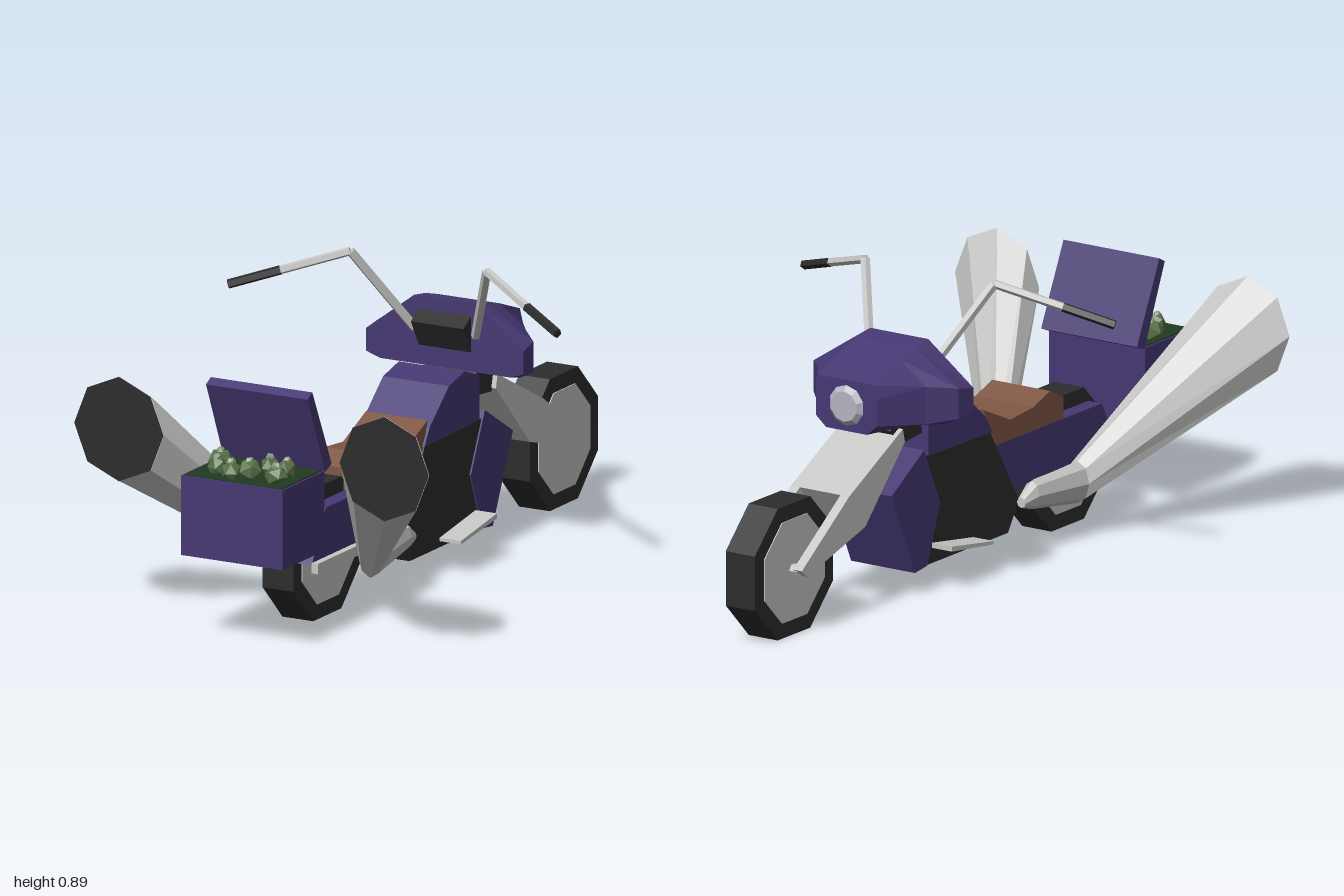
import * as THREE from 'three';

const mat = (name, color) => {
  const m = new THREE.MeshStandardMaterial({ color });
  m.name = name;
  return m;
};

export function createModel() {
  const purple = mat('purple paint', 0x463873);
  const black = mat('black rubber', 0x2c2c2c);
  const steel = mat('light steel', 0xc6c6c4);
  const glass = mat('headlight glass', 0xb4b4c0);
  const brown = mat('brown leather', 0x7f5745);
  const darkGreen = mat('dark green lining', 0x203a22);
  const green = mat('green bundle', 0x566f45);
  const paleGreen = mat('pale green bundle', 0x8a9a7c);

  const model = new THREE.Group();
  model.name = 'motorcycle';

  function add(name, geo, material) {
    const g = geo.index ? geo.toNonIndexed() : geo;
    g.computeVertexNormals();
    const mesh = new THREE.Mesh(g, material);
    mesh.name = name;
    model.add(mesh);
    return mesh;
  }

  // Side profile of [z, y] points, extruded from x0 to x1
  function slab(name, pts, x0, x1, material) {
    const shape = new THREE.Shape(pts.map(p => new THREE.Vector2(p[0], p[1])));
    const geo = new THREE.ExtrudeGeometry(shape, { depth: x1 - x0, bevelEnabled: false });
    geo.rotateY(-Math.PI / 2).translate(x1, 0, 0);
    return add(name, geo, material);
  }

  function box(name, x0, x1, y0, y1, z0, z1, material) {
    const geo = new THREE.BoxGeometry(x1 - x0, y1 - y0, z1 - z0);
    geo.translate((x0 + x1) / 2, (y0 + y1) / 2, (z0 + z1) / 2);
    return add(name, geo, material);
  }

  // Skin over counter-clockwise rings ordered by rising z, closed at both ends
  function loft(name, rings, material) {
    const n = rings[0].length, idx = [];
    const last = (rings.length - 1) * n;
    for (let i = 0; i < rings.length - 1; i++) {
      for (let j = 0; j < n; j++) {
        const k = (j + 1) % n;
        const a = i * n + j, b = i * n + k, c = b + n, d = a + n;
        idx.push(a, b, c, a, c, d);
      }
    }
    for (let j = 1; j < n - 1; j++) {
      idx.push(0, j + 1, j, last, last + j, last + j + 1);
    }
    const geo = new THREE.BufferGeometry();
    geo.setAttribute('position', new THREE.Float32BufferAttribute(rings.flat(2), 3));
    geo.setIndex(idx);
    return add(name, geo, material);
  }

  // Straight bar between two points
  function bar(name, a, b, r, material, sides = 5) {
    const p = new THREE.Vector3(...a), q = new THREE.Vector3(...b);
    const dir = q.clone().sub(p);
    const geo = new THREE.CylinderGeometry(r, r, dir.length(), sides);
    geo.applyQuaternion(new THREE.Quaternion().setFromUnitVectors(
      new THREE.Vector3(0, 1, 0), dir.normalize()));
    const mid = p.add(q).multiplyScalar(0.5);
    geo.translate(mid.x, mid.y, mid.z);
    return add(name, geo, material);
  }

  // Octagonal wheels with flat hub plates
  const octagon = (r, w, z) => new THREE.CylinderGeometry(r, r, w, 8)
    .rotateY(Math.PI / 8).rotateZ(Math.PI / 2).translate(0, 0.193, z);
  for (const [name, z] of [['frontWheel', -0.805], ['rearWheel', 0.543]]) {
    add(name + 'Tyre', octagon(0.209, 0.1, z), black);
    add(name + 'Hub', octagon(0.16, 0.106, z), steel);
  }

  // Engine, front radiator, tank, seat
  slab('engine', [[0.08, 0.396], [-0.235, 0.396], [-0.235, 0.075], [0.17, 0.075],
    [0.225, 0.16], [0.2, 0.2]], -0.105, 0.105, black);
  slab('radiator', [[-0.25, 0.418], [-0.41, 0.32], [-0.295, 0.068], [-0.235, 0.075],
    [-0.17, 0.246]], -0.11, 0.11, purple);
  slab('fuelTank', [[0.09, 0.39], [0.06, 0.44], [-0.05, 0.535], [-0.14, 0.557],
    [-0.225, 0.525], [-0.225, 0.395]], -0.107, 0.107, purple);
  slab('seat', [[0.45, 0.343], [0.45, 0.407], [0.385, 0.44], [0.305, 0.412], [0.19, 0.402],
    [0.06, 0.46], [0.08, 0.39], [0.12, 0.343]], -0.1, 0.1, brown);

  // Rear frame
  const rail = [[0.09, 0.39], [0.12, 0.343], [0.64, 0.343], [0.72, 0.193], [0.19, 0.193]];
  slab('rearFrameCore', [[0.09, 0.39], [0.12, 0.343], [0.34, 0.343], [0.34, 0.193],
    [0.19, 0.193]], -0.055, 0.055, purple);

  // Steering neck and fork crown
  slab('steeringNeck', [[-0.17, 0.67], [-0.22, 0.7], [-0.38, 0.5], [-0.33, 0.45],
    [-0.22, 0.46], [-0.25, 0.53]], -0.085, 0.085, black);
  slab('forkCrown', [[-0.34, 0.5], [-0.605, 0.364], [-0.525, 0.257], [-0.33, 0.46]],
    -0.07, 0.07, steel);
  bar('frontAxle', [-0.08, 0.193, -0.815], [0.08, 0.193, -0.815], 0.018, steel, 6);

  for (const s of [-1, 1]) {
    const side = s > 0 ? 'left' : 'right';
    const span = (a, b) => s > 0 ? [a, b] : [-b, -a];

    slab(side + 'RearRail', rail, ...span(0.053, 0.1), purple);
    box(side + 'SwingArm', ...span(0.1, 0.12), 0.17, 0.2, 0.3, 0.72, steel);
    slab(side + 'ForkLeg', [[-0.34, 0.5], [-0.605, 0.364], [-0.838, 0.2], [-0.81, 0.177],
      [-0.525, 0.257], [-0.33, 0.46]], ...span(0.07, 0.1), steel);
    slab(side + 'Footboard', [[0, 0.093], [0, 0.103], [-0.205, 0.135], [-0.205, 0.12]],
      ...span(0.1, 0.175), steel);

    // Handlebar with dark grip
    const base = [s * 0.1, 0.64, -0.215], peak = [s * 0.222, 0.882, -0.065];
    const grip = [s * 0.4, 0.823, 0.02], end = [s * 0.535, 0.778, 0.082];
    bar(side + 'Riser', base, peak, 0.014, steel);
    bar(side + 'Handlebar', peak, grip, 0.013, steel);
    bar(side + 'Grip', grip, end, 0.014, black);

    // Flared exhaust: z, centre x, centre y, radius x, radius y
    const rings = [
      [0.2, 0.13, 0.16, 0.015, 0.015],
      [0.25, 0.132, 0.172, 0.026, 0.042],
      [0.46, 0.142, 0.162, 0.04, 0.062],
      [0.884, 0.431, 0.56, 0.145, 0.153],
    ].map(([z, cx, cy, rx, ry]) => Array.from({ length: 8 }, (_, i) => {
      const a = i * Math.PI / 4;
      return [s * cx + rx * Math.cos(a), cy + ry * Math.sin(a), z];
    }));
    loft(side + 'Exhaust', rings, steel);
    add(side + 'ExhaustOpening', new THREE.CircleGeometry(1, 8).scale(0.145, 0.153, 1)
      .translate(s * 0.431, 0.56, 0.887), black);
  }

  // Headlight fairing with flared wings: half sections from bottom to top
  const fairing = [
    [-0.475, [[0.07, 0.51], [0.105, 0.54], [0.105, 0.62], [0.095, 0.66]]],
    [-0.35, [[0.12, 0.515], [0.185, 0.53], [0.185, 0.64], [0.1, 0.705]]],
    [-0.28, [[0.21, 0.52], [0.25, 0.54], [0.25, 0.63], [0.1, 0.725]]],
    [-0.215, [[0.21, 0.535], [0.256, 0.55], [0.256, 0.617], [0.1, 0.735]]],
  ].map(([z, half]) => [
    ...half.map(([x, y]) => [x, y, z]),
    ...half.slice().reverse().map(([x, y]) => [-x, y, z]),
  ]);
  loft('headlightFairing', fairing, purple);
  add('headlight', new THREE.CylinderGeometry(0.045, 0.062, 0.016, 10)
    .rotateX(-Math.PI / 2).translate(0, 0.585, -0.481), glass);

  // Trunk with open lid
  box('trunk', -0.165, 0.165, 0.255, 0.488, 0.76, 1, purple);
  box('trunkLining', -0.158, 0.158, 0.487, 0.491, 0.766, 0.994, darkGreen);
  slab('trunkLid', [[0.857, 0.72], [0.83, 0.735], [0.72, 0.5], [0.757, 0.485]],
    -0.165, 0.165, purple);

  // Crumpled bundles in the trunk
  let seed = 7;
  const rand = () => (seed = (seed * 16807) % 2147483647) / 2147483647;
  const spots = [[-0.09, 0.925], [0.01, 0.915], [0.105, 0.93], [-0.115, 0.86],
    [0.04, 0.85], [0.1, 0.86], [-0.03, 0.95]];
  spots.forEach(([x, z], i) => {
    const lump = new THREE.Group();
    lump.name = 'bundle' + (i + 1);
    for (const [material, r, dy] of [[green, 0.034, 0], [paleGreen, 0.014, 0.027]]) {
      const geo = new THREE.IcosahedronGeometry(r, 0);
      geo.scale(0.8 + rand() * 0.4, 0.9 + rand() * 0.2, 0.8 + rand() * 0.3);
      geo.rotateY(rand() * 6).translate(x, 0.506 + dy, z);
      const piece = add('crumple', geo, material);
      lump.add(piece);
    }
    model.add(lump);
  });

  return model;
}
